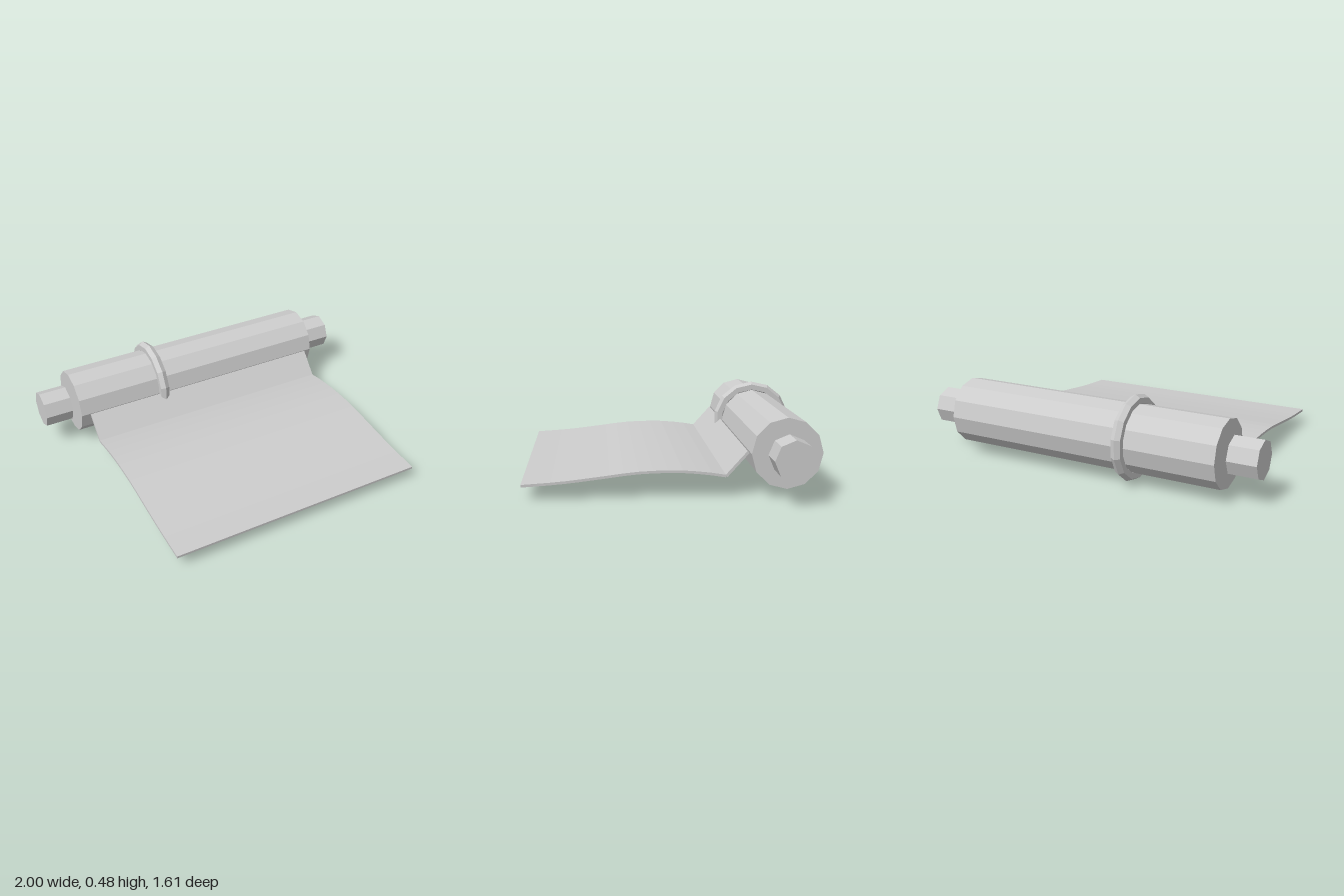
import * as THREE from 'three';

const AXIS_Y = 0.239, AXIS_Z = -0.571;

export function createModel() {
  const model = new THREE.Group();
  model.name = 'scroll';
  const grey = new THREE.MeshStandardMaterial({ color: 0xcccccc });
  grey.name = 'light grey';

  const add = (name, geometry, x, y, z) => {
    // split vertices so every facet keeps its own normal
    const flat = geometry.index ? geometry.toNonIndexed() : geometry;
    flat.computeVertexNormals();
    const mesh = new THREE.Mesh(flat, grey);
    mesh.name = name;
    mesh.position.set(x, y, z);
    model.add(mesh);
  };
  const rod = (radius, length, sides) =>
    new THREE.CylinderGeometry(radius, radius, length, sides).rotateZ(Math.PI / 2);

  // rolled-up body and the two end knobs
  add('roll', rod(0.188, 1.62, 12), 0, AXIS_Y, AXIS_Z);
  add('leftKnob', rod(0.107, 0.163, 8), 0.9185, AXIS_Y, AXIS_Z);
  add('rightKnob', rod(0.107, 0.163, 8), -0.9185, AXIS_Y, AXIS_Z);

  // band around the roll, with a corner at the top
  const band = new THREE.TorusGeometry(0.206, 0.032, 6, 14)
    .rotateZ(Math.PI / 2).rotateY(Math.PI / 2);
  add('band', band, -0.273, AXIS_Y, AXIS_Z);

  // extrudes a side profile of [z, y] points, given a thickness, across the width
  const strip = (name, points, thickness) => {
    const h = thickness / 2;
    const offset = (side) => points.map((p, i) => {
      const a = points[Math.max(i - 1, 0)], b = points[Math.min(i + 1, points.length - 1)];
      const n = new THREE.Vector2(-(b.y - a.y), b.x - a.x).normalize();
      return new THREE.Vector2(-(p.x + n.x * h * side), p.y + n.y * h * side);
    });
    const shape = new THREE.Shape([...offset(1), ...offset(-1).reverse()]);
    const geometry = new THREE.ExtrudeGeometry(shape, { depth: 1.514, bevelEnabled: false });
    add(name, geometry.rotateY(Math.PI / 2), -0.757, 0, 0);
  };

  // unrolled sheet with a gentle wave
  const wave = new THREE.SplineCurve([
    [-0.26, 0.113], [-0.15, 0.13], [0, 0.142], [0.2, 0.138],
    [0.4, 0.115], [0.6, 0.093], [0.805, 0.08],
  ].map(([z, y]) => new THREE.Vector2(z, y)));
  strip('sheet', wave.getSpacedPoints(14), 0.014);

  // flap joining the sheet to the roll
  strip('flap', [new THREE.Vector2(-0.376, 0.24), new THREE.Vector2(-0.261, 0.113)], 0.015);

  return model;
}
